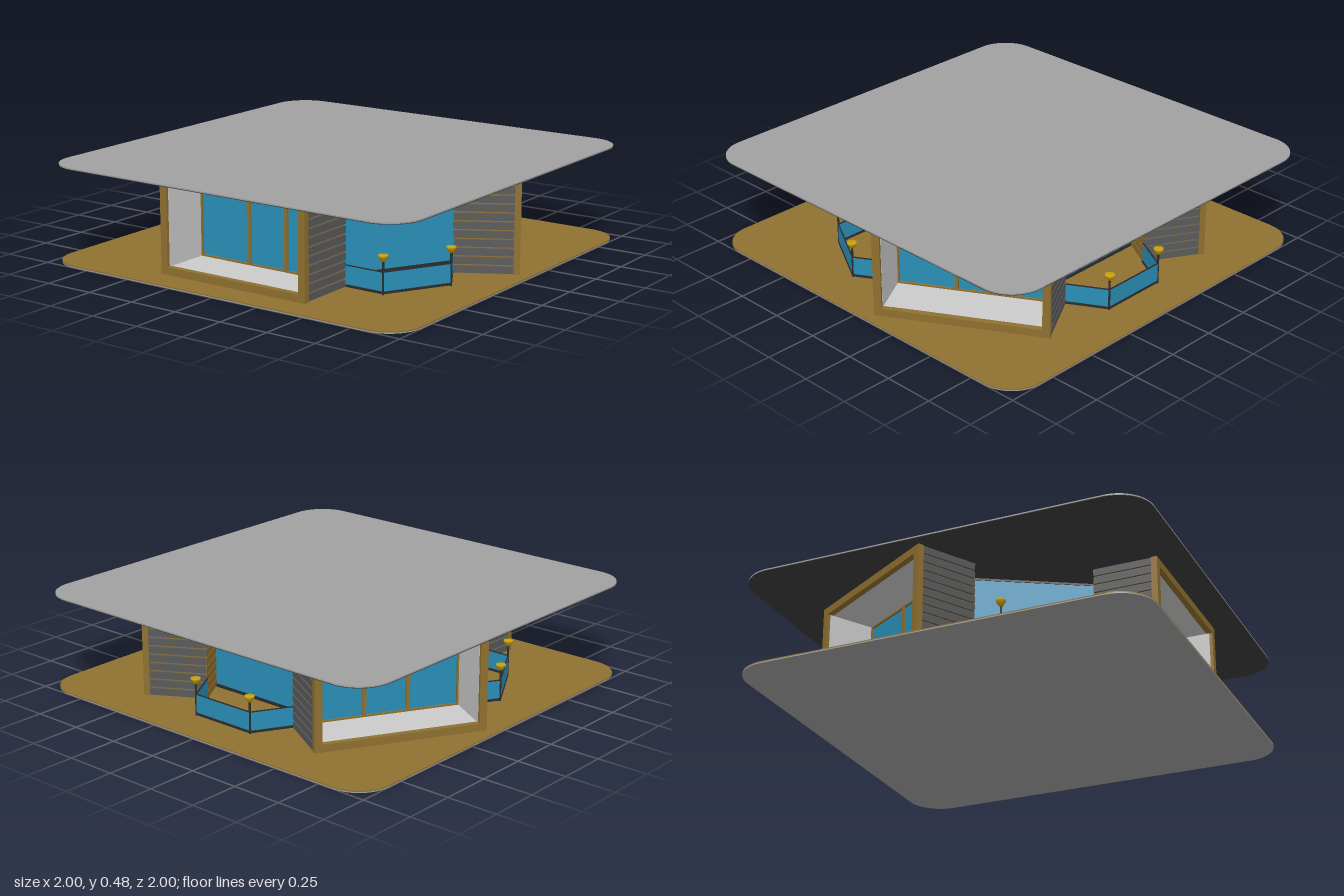
import * as THREE from 'three';

const mat = (color, side = THREE.FrontSide) => new THREE.MeshStandardMaterial({ color, side });
const M = {
  wood: mat(0x8f7030), grey: mat(0xcccccc), roof: mat(0xa0a0a0), soffit: mat(0x3c3c3c),
  board: mat(0x5a5a5a), glass: mat(0x2a8fb8, THREE.DoubleSide), metal: mat(0x2c2c2c), brass: mat(0xc9a010),
};

function add(parent, name, geometry, material, x = 0, y = 0, z = 0) {
  const mesh = new THREE.Mesh(geometry, material);
  mesh.name = name;
  mesh.position.set(x, y, z);
  parent.add(mesh);
  return mesh;
}

// Box given by its minimum and maximum corners
function box(parent, name, material, x0, x1, y0, y1, z0, z1) {
  return add(parent, name, new THREE.BoxGeometry(x1 - x0, y1 - y0, z1 - z0), material,
    (x0 + x1) / 2, (y0 + y1) / 2, (z0 + z1) / 2);
}

// Flat rounded-square layer, from y0 to y1
function slab(parent, name, material, y0, y1) {
  const r = 0.17, c = 1 - r, s = new THREE.Shape();
  s.absarc(c, c, r, 0, Math.PI / 2);
  s.absarc(-c, c, r, Math.PI / 2, Math.PI);
  s.absarc(-c, -c, r, Math.PI, Math.PI * 1.5);
  s.absarc(c, -c, r, Math.PI * 1.5, Math.PI * 2);
  const g = new THREE.ExtrudeGeometry(s, { depth: y1 - y0, bevelEnabled: false, curveSegments: 16 });
  g.rotateX(-Math.PI / 2);
  add(parent, name, g, material, 0, y0, 0);
}

// Rectangular ring facing +z
function ring(parent, name, material, w, y0, y1, border, z0, z1) {
  const rect = (T, a, b, c, d) => new T([[a, c], [b, c], [b, d], [a, d]].map(p => new THREE.Vector2(...p)));
  const s = rect(THREE.Shape, -w, w, y0, y1);
  s.holes.push(rect(THREE.Path, -w + border, w - border, y0 + border, y1 - border));
  add(parent, name, new THREE.ExtrudeGeometry(s, { depth: z1 - z0, bevelEnabled: false }), material, 0, 0, z0);
}

// Upright strip between two floor points
function strip(parent, name, material, a, b, y0, y1, thick) {
  const dx = b[0] - a[0], dz = b[1] - a[1];
  const m = add(parent, name, new THREE.BoxGeometry(Math.hypot(dx, dz), y1 - y0, thick), material,
    (a[0] + b[0]) / 2, (y0 + y1) / 2, (a[1] + b[1]) / 2);
  m.rotation.y = -Math.atan2(dz, dx);
}

const FLOOR = 0.01, CEIL = 0.47;

// Wing with a deep window recess, facing +z
function makeWing() {
  const g = new THREE.Group();
  g.name = 'wing';
  const w = 0.41, front = 0.86, back = 0.55, pane = 0.61;
  ring(g, 'frontFrame', M.wood, w, FLOOR, CEIL, 0.037, 0.83, front);

  // Wall cores, back wall and horizontal cladding
  box(g, 'backWall', M.wood, -0.4, 0.4, FLOOR, CEIL, back + 0.003, back + 0.02);
  const n = 11, pitch = (CEIL - FLOOR) / n;
  for (const s of [-1, 1]) {
    const wall = (name, m, a, b, ...rest) => box(g, name, m, Math.min(s * a, s * b), Math.max(s * a, s * b), ...rest);
    wall('sideWall', M.wood, 0.378, 0.4, FLOOR, CEIL, back + 0.002, 0.832);
    wall('recessSide', M.grey, 0.372, 0.379, 0.045, 0.435, pane, 0.845);
    for (let i = 0; i < n; i++) {
      const y = FLOOR + i * pitch;
      wall('sideBoard', M.board, 0.398, w, y + 0.004, y + pitch - 0.004, back, 0.83);
    }
  }
  for (let i = 0; i < n; i++) {
    const y = FLOOR + i * pitch;
    box(g, 'backBoard', M.wood, -w, w, y + 0.004, y + pitch - 0.004, back, back + 0.004);
  }

  // Recess sill and head
  box(g, 'recessSill', M.grey, -0.378, 0.378, FLOOR, 0.047, pane - 0.03, 0.832);
  box(g, 'recessHead', M.grey, -0.378, 0.378, 0.433, CEIL, pane - 0.03, 0.832);

  // Three-pane window
  box(g, 'windowGlass', M.glass, -0.373, 0.373, 0.045, 0.435, pane - 0.012, pane - 0.004);
  ring(g, 'windowFrame', M.wood, 0.373, 0.046, 0.434, 0.009, pane - 0.012, pane + 0.006);
  for (const x of [-0.09, 0.123])
    box(g, 'mullion', M.wood, x - 0.009, x + 0.009, 0.046, 0.434, pane - 0.012, pane + 0.006);
  return g;
}

// Terrace between two wings, facing +z
function makeTerrace() {
  const g = new THREE.Group();
  g.name = 'terrace';
  const z = 0.478, w = 0.362;

  // Tall glass wall with thin rails
  box(g, 'glassWall', M.glass, -w, w, 0.025, 0.46, z - 0.006, z);
  box(g, 'glassTopRail', M.metal, -w, w, 0.46, CEIL, z - 0.009, z + 0.003);
  box(g, 'glassBottomRail', M.metal, -w, w, FLOOR, 0.025, z - 0.009, z + 0.003);

  // Low glass balustrade
  const points = [[-0.27, 0.63], [-0.17, 0.805], [0.17, 0.805], [0.27, 0.63]];
  for (let i = 0; i < 3; i++) {
    const a = points[i], b = points[i + 1];
    strip(g, 'balustradeGlass', M.glass, a, b, 0.026, 0.115, 0.005);
    strip(g, 'balustradeFoot', M.metal, a, b, 0.014, 0.024, 0.01);
    strip(g, 'balustradeCap', M.metal, a, b, 0.113, 0.117, 0.006);
  }

  // Corner posts with lamps
  for (const [x, pz] of [points[1], points[2]]) {
    add(g, 'lampPost', new THREE.CylinderGeometry(0.005, 0.005, 0.165, 10), M.metal, x, 0.0925, pz);
    const profile = [[0, 0.163], [0.009, 0.165], [0.017, 0.177], [0.023, 0.188], [0.023, 0.195], [0, 0.195]];
    add(g, 'lampShade', new THREE.LatheGeometry(profile.map(p => new THREE.Vector2(...p)), 20), M.brass, x, 0, pz);
  }
  return g;
}

export function createModel() {
  const model = new THREE.Group();
  model.name = 'pavilion';

  // Floor and roof layers
  slab(model, 'floorBase', M.roof, 0, 0.005);
  slab(model, 'floorDeck', M.wood, 0.005, FLOOR);
  slab(model, 'roofSoffit', M.soffit, CEIL, 0.473);
  slab(model, 'roof', M.roof, 0.473, 0.479);

  // Three wings alternate with three terraces
  for (let i = 0; i < 3; i++) {
    const wing = makeWing(), terrace = makeTerrace();
    wing.rotation.y = i * Math.PI * 2 / 3;
    terrace.rotation.y = i * Math.PI * 2 / 3 + Math.PI / 3;
    model.add(wing, terrace);
  }
  return model;
}
